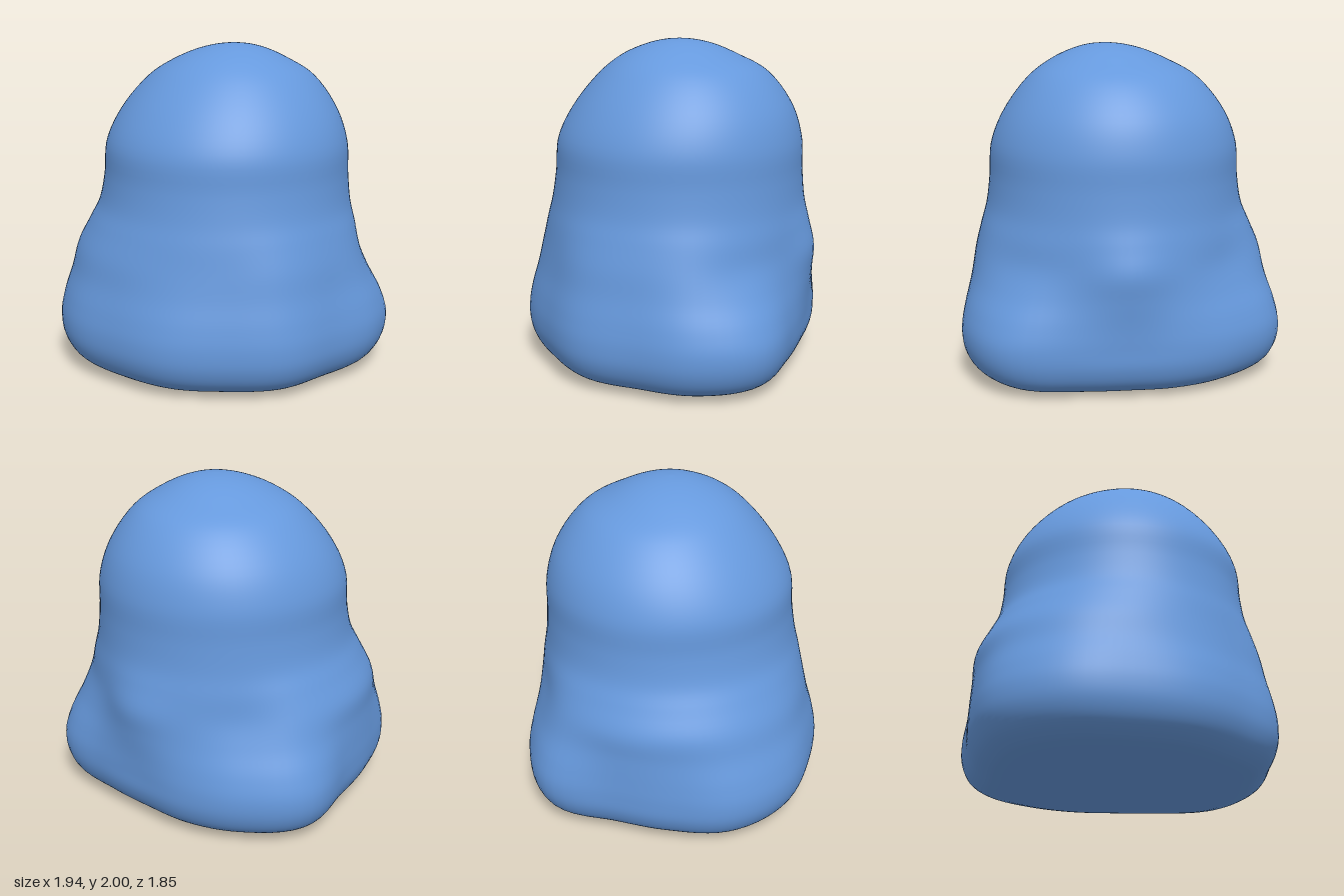
import * as THREE from 'three';

const COLS = 96, ROWS = 84;

// Radii every 22.5 degrees, starting at the front and turning towards +x
const skirt = [0.97, 0.95, 0.92, 0.955, 0.935, 1.01, 1.025, 0.88, 0.83, 0.885, 0.97, 1.05, 0.945, 0.965, 1.05, 1.04];
const waist = [0.88, 0.85, 0.84, 0.87, 0.86, 0.87, 0.84, 0.82, 0.86, 0.83, 0.83, 0.9, 0.915, 0.93, 0.94, 0.92];

// Height levels: y, weights of the skirt and waist outlines, round dome radius, centre x and z
const levels = [
  [0.015, 0.77, 0, 0, 0.02, -0.07],
  [0.035, 0.85, 0, 0, 0.02, -0.07],
  [0.1, 0.94, 0, 0, 0.02, -0.07],
  [0.2, 0.99, 0, 0, 0.02, -0.07],
  [0.32, 1, 0, 0, 0.02, -0.07],
  [0.45, 0.78, 0.22, 0, 0.02, -0.07],
  [0.6, 0.35, 0.65, 0, 0.02, -0.07],
  [0.75, 0, 1, 0, 0.02, -0.07],
  [0.9, 0, 0.5, 0.393, 0.02, -0.07],
  [1.03, 0, 0.12, 0.685, 0.02, -0.07],
  [1.2, 0, 0, 0.766, 0.02, -0.075],
  [1.4, 0, 0, 0.752, 0.02, -0.08],
  [1.6, 0, 0, 0.67, 0.02, -0.1],
  [1.8, 0, 0, 0.51, 0.03, -0.11],
  [1.9, 0, 0, 0.355, 0.05, -0.09],
  [1.96, 0, 0, 0.22, 0.06, -0.09],
  [1.99, 0, 0, 0.105, 0.07, -0.09],
  [2, 0, 0, 0, 0.07, -0.09],
];

// Smooth closed interpolation of an outline table
function radiusAt(table, turn) {
  const n = table.length, f = turn * n, i = Math.floor(f), t = f - i;
  const [a, b, c, d] = [-1, 0, 1, 2].map((k) => table[(i + k + n) % n]);
  return b + 0.5 * t * (c - a + t * (2 * a - 5 * b + 4 * c - d + t * (3 * (b - c) + d - a)));
}

// One vertical rib of the body, from the base rim to the crown
function rib(turn) {
  const angle = turn * Math.PI * 2, s = radiusAt(skirt, turn), w = radiusAt(waist, turn);
  const points = levels.map(([y, ks, kw, dome, cx, cz]) => {
    const r = s * ks + w * kw + dome;
    return new THREE.Vector3(cx + r * Math.sin(angle), y, cz + r * Math.cos(angle));
  });
  return new THREE.CatmullRomCurve3(points).getPoints(ROWS);
}

function makeGeometry(positions, index) {
  const geometry = new THREE.BufferGeometry();
  geometry.setAttribute('position', new THREE.Float32BufferAttribute(positions, 3));
  geometry.setIndex(index);
  geometry.computeVertexNormals();
  return geometry;
}

export function createModel() {
  const group = new THREE.Group();
  group.name = 'softBlob';
  const material = new THREE.MeshStandardMaterial({ color: 0x6699dd });
  const ribs = Array.from({ length: COLS }, (_, i) => rib(i / COLS));

  // Body skin joining neighbouring ribs
  const index = [], stride = ROWS + 1;
  for (let i = 0; i < COLS; i++) {
    const next = (i + 1) % COLS;
    for (let j = 0; j < ROWS; j++) {
      const a = i * stride + j, b = next * stride + j;
      index.push(a, b, b + 1);
      if (j < ROWS - 1) index.push(a, b + 1, a + 1);
    }
  }
  const skin = makeGeometry(ribs.flat().flatMap((p) => p.toArray()), index);
  for (let i = 0; i < COLS; i++) skin.attributes.normal.setXYZ(i * stride + ROWS, 0, 1, 0);
  const body = new THREE.Mesh(skin, material);
  body.name = 'body';

  // Nearly flat underside
  const base = [0.02, 0, -0.07], fan = [];
  ribs.forEach((r, i) => {
    base.push(...r[0].toArray());
    fan.push(0, ((i + 1) % COLS) + 1, i + 1);
  });
  const underside = new THREE.Mesh(makeGeometry(base, fan), material);
  underside.name = 'underside';

  group.add(body, underside);
  return group;
}
